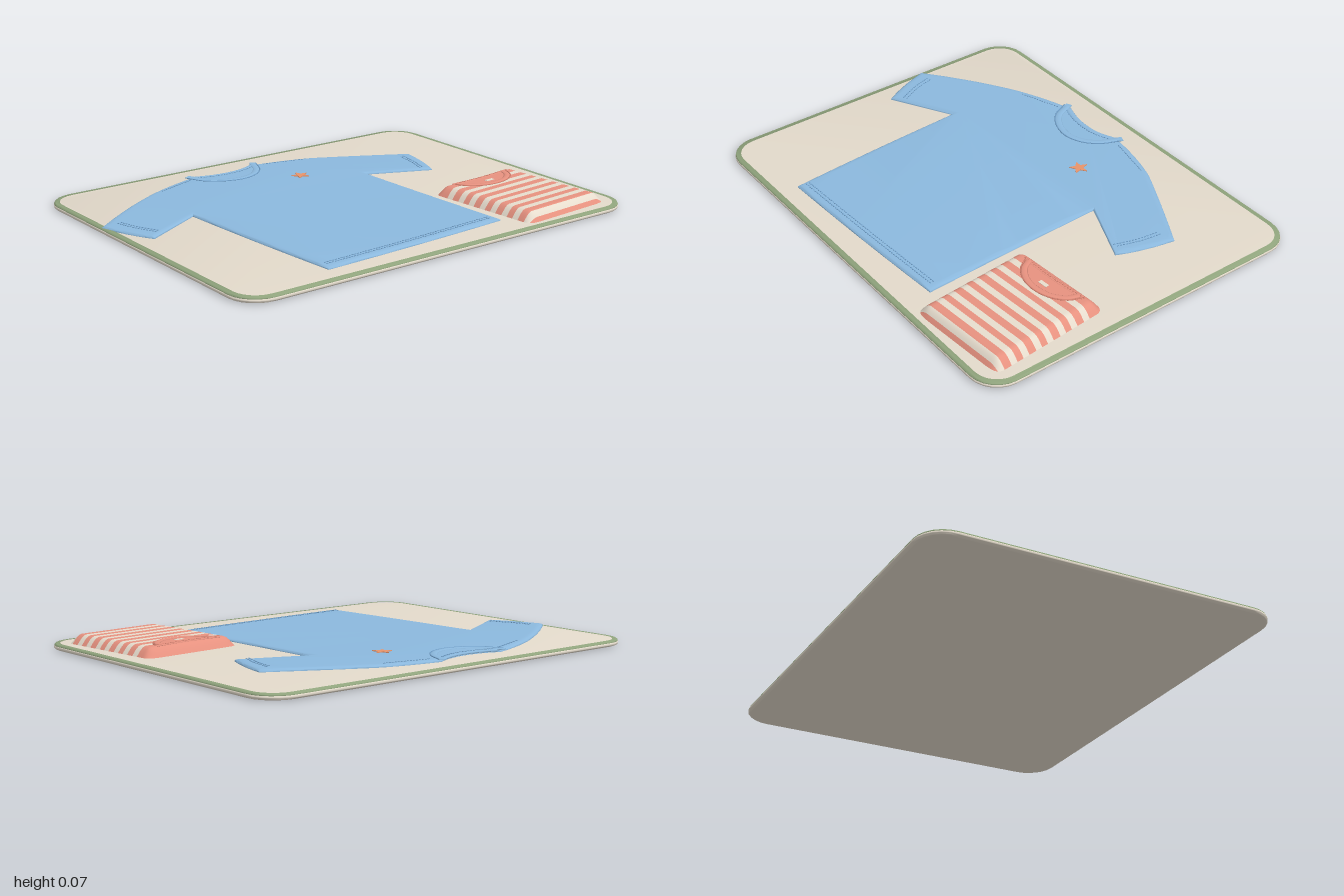
import * as THREE from 'three';
import { mergeGeometries, toCreasedNormals } from 'three/addons/utils/BufferGeometryUtils.js';

const material = (name, color) => {
  const m = new THREE.MeshStandardMaterial({ color });
  m.name = name;
  return m;
};

export function createModel() {
  const beige = material('beige mat', 0xe2d9ca);
  const sage = material('sage piping', 0x8fa37c);
  const blue = material('blue cotton', 0x8bb8dd);
  const blueThread = material('blue thread', 0x6d9cc6);
  const coral = material('coral cotton', 0xe6917f);
  const coralThread = material('coral thread', 0xd07c6a);
  const cream = material('cream stripe', 0xe6dccd);
  const orange = material('orange patch', 0xe8946a);

  const model = new THREE.Group();
  const add = (parent, name, geometry, mat) => {
    const mesh = new THREE.Mesh(geometry, mat);
    mesh.name = name;
    parent.add(mesh);
    return mesh;
  };

  // Points are given as [x, z] on the table plane.
  const curveOf = (pts) =>
    new THREE.CatmullRomCurve3(pts.map(([x, z]) => new THREE.Vector3(x, 0, z)), false, 'centripetal');

  // Flattened cord lying along a curve
  const cord = (curve, y, radius, flat = 1) =>
    new THREE.TubeGeometry(curve, 64, radius, 8).scale(1, flat, 1).translate(0, y, 0);

  // Row of small dashes along a curve
  const stitches = (curve, y, pitch = 0.014) => {
    const n = Math.round(curve.getLength() / pitch);
    const dashes = [];
    for (let i = 0; i <= n; i++) {
      const p = curve.getPointAt(i / n), t = curve.getTangentAt(i / n);
      dashes.push(new THREE.BoxGeometry(pitch * 0.55, 0.002, 0.004)
        .rotateY(Math.atan2(-t.z, t.x)).translate(p.x, y, p.z));
    }
    return mergeGeometries(dashes);
  };

  // Flat slab with rounded edges, standing from y to y + 2 * bevel + depth
  const slab = (shape, y, depth, bevel, inset) => {
    const g = new THREE.ExtrudeGeometry(shape, {
      depth, bevelThickness: bevel, bevelSize: inset, bevelOffset: -inset, bevelSegments: 5, curveSegments: 12,
    });
    g.rotateX(-Math.PI / 2).translate(0, y + bevel, 0);
    return toCreasedNormals(g, 0.9);
  };

  // Rounded rectangle as a list of [x, z]
  const roundRect = (w, d, r, n = 6) => {
    const pts = [];
    [[1, 1], [-1, 1], [-1, -1], [1, -1]].forEach(([sx, sz], q) => {
      for (let i = 0; i <= n; i++) {
        const a = (q + i / n) * Math.PI / 2;
        pts.push([sx * (w - r) + r * Math.cos(a), sz * (d - r) + r * Math.sin(a)]);
      }
    });
    return pts;
  };
  const shapeOf = (pts) => new THREE.Shape(pts.map(([x, z]) => new THREE.Vector2(x, -z)));

  // ---- Mat with piping along its upper edge ----
  const mat = new THREE.Group();
  mat.name = 'mat';
  model.add(mat);
  add(mat, 'matPad', slab(shapeOf(roundRect(1, 0.79, 0.13)), 0, 0.004, 0.009, 0.014), beige);
  const rim = shapeOf(roundRect(0.998, 0.788, 0.128));
  rim.holes.push(shapeOf(roundRect(0.98, 0.77, 0.11)));
  add(mat, 'rimPiping', slab(rim, 0.009, 0.002, 0.007, 0.006), sage);

  // ---- Spread T-shirt ----
  const shirt = new THREE.Group();
  shirt.name = 'spreadShirt';
  model.add(shirt);
  const outline = new THREE.Shape();
  outline.moveTo(-0.33, 0.655);
  outline.quadraticCurveTo(-0.15, 0.575, 0.02, 0.665);       // back neckline
  outline.quadraticCurveTo(0.18, 0.645, 0.31, 0.595);        // shoulder
  outline.quadraticCurveTo(0.5, 0.5, 0.72, 0.375);           // sleeve
  outline.quadraticCurveTo(0.695, 0.22, 0.645, 0.115);
  outline.lineTo(0.355, 0.24);
  outline.quadraticCurveTo(0.365, -0.2, 0.385, -0.63);
  outline.quadraticCurveTo(-0.08, -0.665, -0.55, -0.68);     // hem
  outline.quadraticCurveTo(-0.59, -0.25, -0.61, 0.19);
  outline.lineTo(-0.89, 0.035);
  outline.quadraticCurveTo(-0.95, 0.13, -0.995, 0.28);
  outline.quadraticCurveTo(-0.8, 0.44, -0.6, 0.55);
  outline.quadraticCurveTo(-0.46, 0.62, -0.33, 0.655);
  add(shirt, 'shirtBody', slab(outline, 0.0115, 0.001, 0.0105, 0.026), blue);

  const top = 0.0345;
  const scaled = (pts, cx, cz, k) => pts.map(([x, z]) => [cx + (x - cx) * k, cz + (z - cz) * k]);
  const collar = [[-0.335, -0.65], [-0.3, -0.575], [-0.235, -0.525], [-0.15, -0.505], [-0.07, -0.53], [-0.015, -0.585], [0.02, -0.665]];
  const collarAt = (k) => curveOf(scaled(collar, -0.155, -0.66, k));
  add(shirt, 'frontCollar', cord(collarAt(0.99), 0.032, 0.017, 0.3), blue);
  add(shirt, 'collarSeam', cord(collarAt(1.09), top, 0.0025), blueThread);
  const backNeck = (dz) => curveOf([[-0.32, -0.645 + dz], [-0.235, -0.62 + dz], [-0.15, -0.612 + dz], [-0.07, -0.622 + dz], [0.01, -0.655 + dz]]);
  add(shirt, 'backCollar', cord(backNeck(0), 0.03, 0.014, 0.35), blue);
  add(shirt, 'backCollarStitch', stitches(backNeck(0.015), top), blueThread);

  // Collar tips
  for (const [x, z, turn] of [[-0.333, -0.652, 0.47], [0.021, -0.665, 2.77]]) {
    const tip = add(shirt, 'collarTip', new THREE.BoxGeometry(0.03, 0.003, 0.034), blue);
    tip.position.set(x, 0.034, z);
    tip.rotation.y = turn;
  }

  // Seams on hem, cuffs and shoulders
  const seams = {
    hemStitch: [[-0.53, 0.646], [-0.1, 0.628], [0.345, 0.603]],
    hemStitchUpper: [[-0.53, 0.63], [-0.1, 0.612], [0.345, 0.587]],
    rightCuffStitch: [[-0.925, -0.265], [-0.9, -0.18], [-0.855, -0.085]],
    rightCuffStitchInner: [[-0.908, -0.27], [-0.883, -0.185], [-0.84, -0.095]],
    leftCuffStitch: [[0.66, -0.345], [0.645, -0.25], [0.615, -0.155]],
    leftCuffStitchInner: [[0.643, -0.34], [0.628, -0.245], [0.598, -0.15]],
    rightShoulderStitch: [[-0.54, -0.548], [-0.36, -0.612]],
    leftShoulderStitch: [[0.06, -0.632], [0.26, -0.587]],
  };
  for (const [name, pts] of Object.entries(seams)) add(shirt, name, stitches(curveOf(pts), top), blueThread);

  // Star patch on the chest
  const star = Array.from({ length: 10 }, (_, i) => {
    const a = i * Math.PI / 5 + 0.06, k = i % 2 ? 0.019 : 0.043;
    return [0.085 + k * Math.sin(a), -0.38 - k * Math.cos(a)];
  });
  const plate = (pts, y, depth) =>
    new THREE.ExtrudeGeometry(shapeOf(pts), { depth, bevelEnabled: false }).rotateX(-Math.PI / 2).translate(0, y, 0);
  add(shirt, 'starPatch', plate(star, 0.033, 0.004), orange);

  // ---- Folded striped shirt ----
  const folded = new THREE.Group();
  folded.name = 'foldedShirt';
  folded.position.set(0.667, 0, 0.443);
  folded.rotation.y = 0.08;
  model.add(folded);

  const W = 0.242, D = 0.283, R = 0.04, soft = 0.05, rows = 112, cols = 40;
  const rise = (d) => Math.sin(Math.min(1, d / soft) * Math.PI / 2);
  const pos = [], index = [], bundle = new THREE.BufferGeometry();
  for (let i = 0; i <= rows; i++) {
    const z = -D + 2 * D * i / rows, end = Math.max(0, D - Math.abs(z));
    const w = W - R + Math.sqrt(R * R - Math.max(0, R - end) ** 2);
    for (let j = 0; j <= cols; j++) {
      const u = Math.sin((j / cols - 0.5) * Math.PI);
      pos.push(u * w, 0.02 + 0.043 * rise(w * (1 - Math.abs(u))) * rise(end), z);
    }
  }
  // Alternate coral and cream by row, with plain coral at both ends
  for (let i = 0; i < rows; i++) {
    const z = -D + 2 * D * (i + 0.5) / rows;
    const phase = ((z + 0.2) / 0.063) % 1;
    bundle.addGroup(index.length, cols * 6, z > -0.2 && z < 0.268 && phase < 0.48 ? 1 : 0);
    for (let j = 0; j < cols; j++) {
      const a = i * (cols + 1) + j, b = a + cols + 1;
      index.push(a, b, b + 1, a, b + 1, a + 1);
    }
  }
  bundle.setAttribute('position', new THREE.Float32BufferAttribute(pos, 3));
  bundle.setIndex(index);
  bundle.computeVertexNormals();
  add(folded, 'foldedBody', bundle, [coral, cream]);

  // Folded neckline, inner panel and label
  const neck = [[-0.155, -0.235], [-0.13, -0.185], [-0.075, -0.145], [0, -0.13], [0.075, -0.145], [0.13, -0.185], [0.155, -0.235]];
  const neckAt = (k) => curveOf(scaled(neck, 0, -0.235, k));
  add(folded, 'neckPanel', plate(neckAt(1).getPoints(30).map((p) => [p.x, p.z]), 0.062, 0.002), coral);
  add(folded, 'neckBand', cord(neckAt(0.95), 0.064, 0.014, 0.3), coral);
  add(folded, 'neckSeam', cord(neckAt(1.07), 0.0638, 0.0025), coralThread);
  const back = curveOf([[-0.17, -0.236], [0, -0.228], [0.17, -0.236]]);
  add(folded, 'backNeckBand', cord(back, 0.0625, 0.011, 0.3), coral);
  add(folded, 'backNeckStitch', stitches(back, 0.066), coralThread);
  add(folded, 'neckLabel', new THREE.BoxGeometry(0.045, 0.002, 0.018).translate(0, 0.0645, -0.178), cream);

  return model;
}
